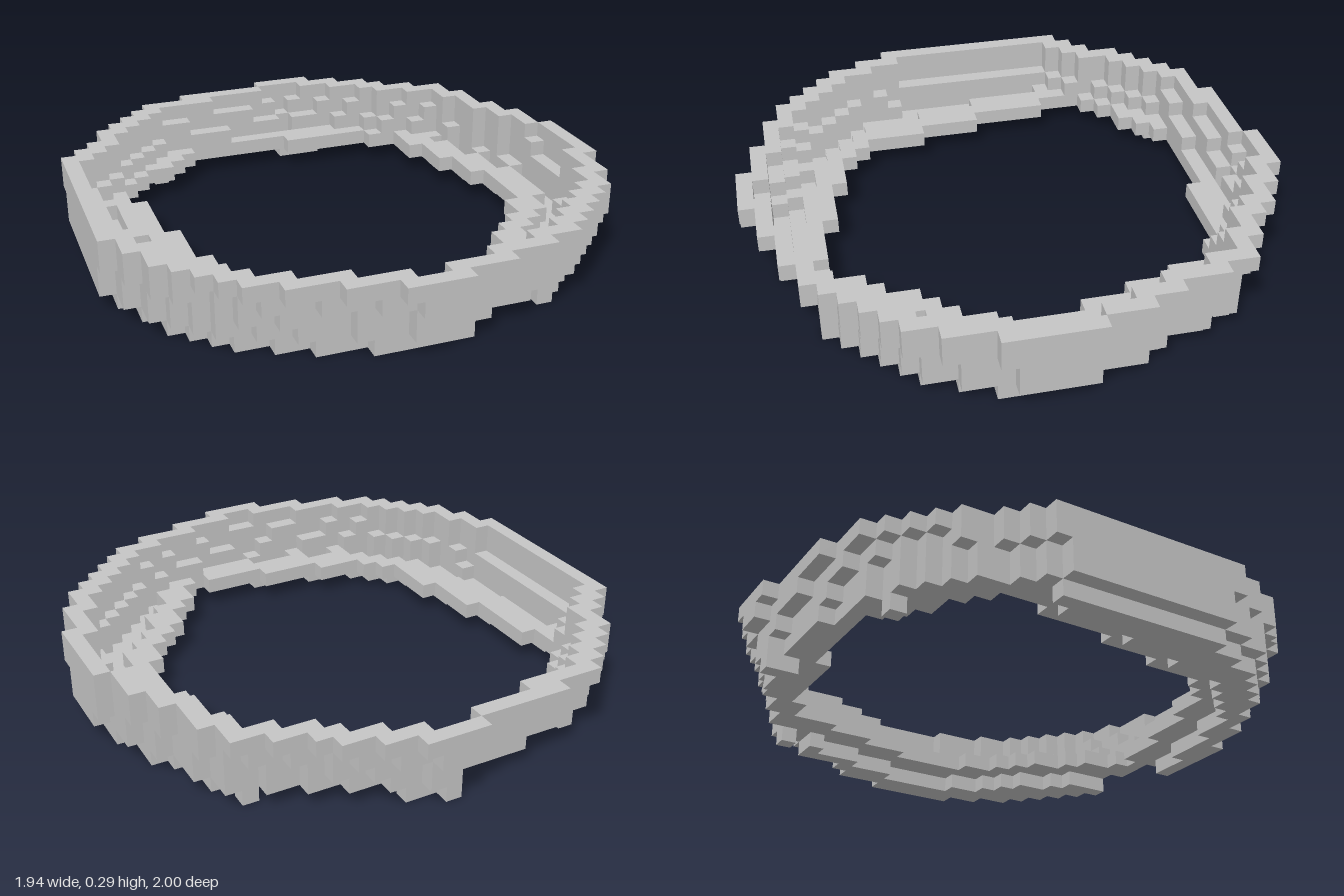
import * as THREE from 'three';
import { mergeGeometries } from 'three/addons/utils/BufferGeometryUtils.js';

const NX = 33, NZ = 34, CELL = 2 / 34;

// Outer outline, from the back tip to the front tip: first column and end column per row
const LEFT = [17.5, 16, 10, 7, 6, 5, 4, 3, 3, 2, 1, 0, 0, 0, 0, 0, 0, 0, 0, 0, 0, 0, 0, 0, 1, 1, 2, 2, 3, 4, 5, 6, 8, 11, 14, 16];
const RIGHT = [17.5, 20, 22, 24, 25, 27, 29, 29, 30, 30, 30, 31, 31, 32, 32, 32, 33, 33, 33, 33, 33, 33, 32, 32, 32, 31, 31, 30, 29, 28, 27, 26, 24, 21, 18, 16];
// Central hole, starting at row HOLE_START
const HOLE_START = 4;
const HOLE_LEFT = [10, 9, 8, 6, 5, 4, 4, 4, 5, 5, 5, 5, 5, 6, 6, 6, 6, 7, 7, 7, 7, 8, 9, 12, 16, 20];
const HOLE_RIGHT = [17, 23, 25, 25, 25, 26, 26, 26, 27, 27, 27, 28, 28, 28, 28, 28, 27, 27, 26, 25, 24, 24, 23, 22, 22, 21];

// Layers from the bottom up, with how much each shrinks the outline in x and z
const LAYERS = [
  { name: 'channelFloor', sx: 1.06, sz: 1.1206 },
  { name: 'innerLedge', sx: 1.028, sz: 1.095 },
  { name: 'wallShelf', sx: 1.02, sz: 1.082 },
  { name: 'upperWall', sx: 1.01, sz: 1.0335 },
  { name: 'rim', sx: 1, sz: 1 },
];
const WALL = 1.085;

// Is a cell inside a layer's outline, shrunk further by a factor?
function inOutline(i, j, layer, shrink = 1) {
  const x = (i + 0.5 - NX / 2) * layer.sx * shrink + NX / 2;
  const row = (j + 0.5 - NZ / 2) * layer.sz * shrink + NZ / 2 + 0.5;
  const r = Math.floor(row);
  if (r < 0 || r >= LEFT.length - 1) return false;
  return x > THREE.MathUtils.lerp(LEFT[r], LEFT[r + 1], row - r)
    && x < THREE.MathUtils.lerp(RIGHT[r], RIGHT[r + 1], row - r);
}

function inHole(i, j) {
  const r = j - HOLE_START;
  return r >= 0 && r < HOLE_LEFT.length && i >= HOLE_LEFT[r] && i < HOLE_RIGHT[r];
}

// Is a cell within two steps of the hole?
function onLedge(i, j) {
  for (let a = -2; a <= 2; a++) {
    for (let b = -2; b <= 2; b++) {
      if (Math.abs(a) + Math.abs(b) <= 2 && inHole(i + a, j + b)) return true;
    }
  }
  return false;
}

function filled(i, k, j) {
  const layer = LAYERS[k];
  if (!layer || inHole(i, j) || !inOutline(i, j, layer)) return false;
  // Channel floor, with breaks at the diagonals
  if (k === 0) return !onLedge(i, j) && i !== 23 && j !== 7;
  // Ledge around the hole, closing whatever the floor leaves open
  if (k === 1 && !filled(i, 0, j)) return true;
  // Thin outer wall
  return !inOutline(i, j, layer, WALL);
}

// One cell face, with its outward direction
function face(dx, dy, dz, rx, ry) {
  const geometry = new THREE.PlaneGeometry(CELL, CELL);
  geometry.translate(0, 0, CELL / 2).rotateX(rx).rotateY(ry);
  return { dx, dy, dz, geometry };
}

export function createModel() {
  const group = new THREE.Group();
  group.name = 'blockRing';
  const stone = new THREE.MeshStandardMaterial({ color: 0xc6c6c6 });
  stone.name = 'stone grey';
  const q = Math.PI / 2;
  const faces = [
    face(1, 0, 0, 0, q), face(-1, 0, 0, 0, -q),
    face(0, 1, 0, -q, 0), face(0, -1, 0, q, 0),
    face(0, 0, 1, 0, 0), face(0, 0, -1, 0, Math.PI),
  ];

  // One mesh per layer, made of the exposed cell faces
  LAYERS.forEach(({ name }, k) => {
    const parts = [];
    for (let j = 0; j < NZ; j++) {
      for (let i = 0; i < NX; i++) {
        if (!filled(i, k, j)) continue;
        for (const f of faces) {
          if (filled(i + f.dx, k + f.dy, j + f.dz)) continue;
          parts.push(f.geometry.clone().translate(
            (i + 0.5 - NX / 2) * CELL, (k + 0.5) * CELL, (j + 0.5 - NZ / 2) * CELL));
        }
      }
    }
    const mesh = new THREE.Mesh(mergeGeometries(parts), stone);
    mesh.name = name;
    group.add(mesh);
  });
  return group;
}
